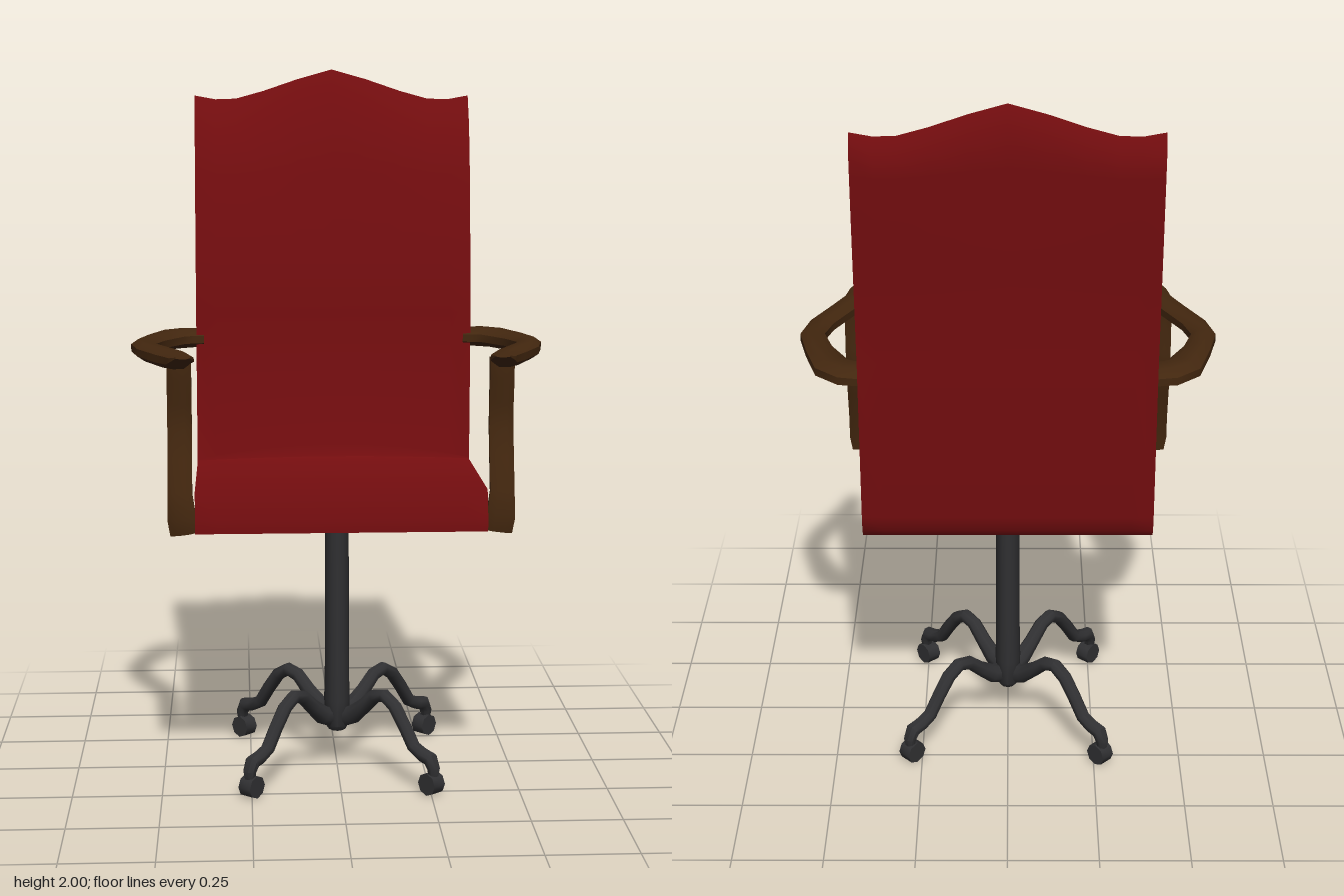
import * as THREE from 'three';
import { toCreasedNormals, mergeVertices } from 'three/addons/utils/BufferGeometryUtils.js';

const red = new THREE.MeshStandardMaterial({ color: 0x740d0f });
red.name = 'red leather';
const wood = new THREE.MeshStandardMaterial({ color: 0x43270f });
wood.name = 'dark wood';
const iron = new THREE.MeshStandardMaterial({ color: 0x303032 });
iron.name = 'dark iron';

function build(points, index, crease) {
  const g = new THREE.BufferGeometry();
  g.setAttribute('position', new THREE.Float32BufferAttribute(points, 3));
  g.setIndex(index);
  return toCreasedNormals(mergeVertices(g), crease);
}

function mesh(name, geometry, material) {
  const m = new THREE.Mesh(geometry, material);
  m.name = name;
  return m;
}

// Elliptical sweep along rows of [x, y, z, half size across ref, half size along ref]
function sweep(rows, ref, sides = 8) {
  const pts = [], idx = [];
  const at = (i) => new THREE.Vector3(...rows[Math.min(Math.max(i, 0), rows.length - 1)].slice(0, 3));
  rows.forEach((row, i) => {
    const t = at(i + 1).sub(at(i - 1)).normalize();
    const u = new THREE.Vector3().crossVectors(ref, t).normalize();
    const v = new THREE.Vector3().crossVectors(t, u);
    for (let j = 0; j < sides; j++) {
      const a = ((j + 0.5) / sides) * Math.PI * 2;
      const p = at(i).addScaledVector(u, Math.cos(a) * row[3] * 1.06).addScaledVector(v, Math.sin(a) * row[4] * 1.06);
      pts.push(p.x, p.y, p.z);
    }
  });
  const n = rows.length, last = (n - 1) * sides;
  for (let i = 0; i < n - 1; i++) {
    for (let j = 0; j < sides; j++) {
      const k = (j + 1) % sides, a = i * sides, b = a + sides;
      idx.push(a + j, a + k, b + j, a + k, b + k, b + j);
    }
  }
  for (let j = 1; j < sides - 1; j++) idx.push(0, j + 1, j, last, last + j, last + j + 1);
  return build(pts, idx, 0.9);
}

// Seat and back in one body: side profile lofted across x, with a wavy top edge
function upholstery() {
  const stations = [[-0.4, 1.925], [-0.34, 1.914], [-0.28, 1.916], [-0.2, 1.938], [-0.1, 1.972], [0, 2],
    [0.1, 1.972], [0.2, 1.938], [0.28, 1.916], [0.34, 1.914], [0.4, 1.925]];
  const profile = (x, top) => {
    const f = 0.006 + 0.04 * Math.max(0, 1 - Math.pow(Math.abs(x) / 0.4, 2)); // soft inner corner
    const d = top - 2;
    return [[0.285, 0.752], [0.285, 0.79], [0.262, 0.865], [-0.2 + f, 0.865], [-0.2 + f * 0.3, 0.865 + f * 0.3],
      [-0.2, 0.865 + f], [-0.2, 1.3], [-0.222, 1.48], [-0.255, 1.7], [-0.29, 1.9 + d * 0.8], [-0.335, 2 + d],
      [-0.358, 1.94 + d * 0.9], [-0.355, 1.84 + d * 0.4], [-0.335, 1.55], [-0.312, 1.28], [-0.31, 0.82],
      [-0.303, 0.775], [-0.285, 0.752]];
  };
  const pts = [], idx = [], n = profile(0, 2).length;
  stations.forEach(([x, top]) => profile(x, top).forEach(([z, y]) => pts.push(x, y, z)));
  for (let i = 0; i < stations.length - 1; i++) {
    for (let j = 0; j < n; j++) {
      const k = (j + 1) % n, a = i * n, b = a + n;
      idx.push(a + j, b + j, a + k, a + k, b + j, b + k);
    }
  }
  const end = (stations.length - 1) * n;
  const outline = profile(0.4, 1.925).map(([z, y]) => new THREE.Vector2(z, y));
  for (const face of THREE.ShapeUtils.triangulateShape(outline, [])) {
    // orient each cap triangle outward
    const [p, q, r] = face.map((f) => outline[f]);
    const ccw = (q.x - p.x) * (r.y - p.y) - (q.y - p.y) * (r.x - p.x) > 0;
    const [a, b, c] = ccw ? face : [face[0], face[2], face[1]];
    idx.push(a, b, c, end + a, end + c, end + b);
  }
  return build(pts, idx, 0.7);
}

export function createModel() {
  const chair = new THREE.Group();
  chair.name = 'officeChair';
  chair.add(mesh('seatAndBack', upholstery(), red));

  // Bowed armrests and their front posts
  const armRows = [[0.385, 1.225, -0.252, 0.06, 0.025], [0.43, 1.225, -0.246, 0.06, 0.027],
    [0.475, 1.225, -0.212, 0.052, 0.027], [0.52, 1.226, -0.1, 0.038, 0.026], [0.545, 1.227, -0.005, 0.035, 0.025],
    [0.525, 1.226, 0.085, 0.036, 0.025], [0.472, 1.225, 0.2, 0.036, 0.026], [0.44, 1.227, 0.27, 0.036, 0.024],
    [0.43, 1.235, 0.325, 0.034, 0.014], [0.425, 1.245, 0.357, 0.02, 0.004]];
  const postRows = [[0.44, 1.225, 0.226, 0.022, 0.034], [0.44, 1.17, 0.228, 0.02, 0.034],
    [0.44, 1.1, 0.218, 0.017, 0.034], [0.44, 1.03, 0.218, 0.017, 0.034], [0.44, 0.95, 0.238, 0.017, 0.034],
    [0.44, 0.86, 0.262, 0.018, 0.034], [0.435, 0.79, 0.272, 0.02, 0.04], [0.43, 0.75, 0.27, 0.014, 0.038]];
  for (const [side, s] of [['left', 1], ['right', -1]]) {
    const mirror = (rows) => rows.map(([x, ...rest]) => [x * s, ...rest]);
    chair.add(mesh(side + 'Armrest', sweep(mirror(armRows), new THREE.Vector3(0, 1, 0)), wood));
    chair.add(mesh(side + 'ArmPost', sweep(mirror(postRows), new THREE.Vector3(1, 0, 0)), wood));
  }

  // Oval column
  const base = new THREE.Group();
  base.name = 'base';
  base.position.z = -0.013;
  const outline = [[0, 0.11], [0.028, 0.11], [0.035, 0.125], [0.037, 0.2], [0.035, 0.3], [0.034, 0.755], [0, 0.755]];
  const column = new THREE.LatheGeometry(outline.map(([r, y]) => new THREE.Vector2(r, y)), 12);
  column.scale(1, 1, 1.58);
  base.add(mesh('column', toCreasedNormals(column, 0.9), iron));

  // Four curved legs on casters
  const legRows = [[0.02, 0.145, 0, 0.03, 0.026], [0.065, 0.16, 0, 0.026, 0.024], [0.11, 0.195, 0, 0.021, 0.021],
    [0.155, 0.235, 0, 0.019, 0.02], [0.195, 0.245, 0, 0.018, 0.02], [0.235, 0.222, 0, 0.018, 0.02],
    [0.275, 0.172, 0, 0.018, 0.019], [0.31, 0.122, 0, 0.018, 0.019], [0.345, 0.106, 0, 0.019, 0.02],
    [0.375, 0.1, 0, 0.02, 0.021], [0.388, 0.075, 0, 0.017, 0.018], [0.386, 0.04, 0, 0.012, 0.012]];
  const leg = sweep(legRows, new THREE.Vector3(0, 0, 1));
  const wheel = new THREE.CylinderGeometry(0.032, 0.032, 0.042, 8).rotateX(Math.PI / 2);
  for (const [x, z] of [[0.255, 0.29], [-0.255, 0.29], [0.285, -0.265], [-0.265, -0.265]]) {
    const g = new THREE.Group();
    g.name = 'leg';
    g.rotation.y = Math.atan2(-z, x);
    g.add(mesh('legCurve', leg, iron));
    const w = mesh('caster', toCreasedNormals(wheel, 0.9), iron);
    w.position.set(0.38, 0.032, 0);
    g.add(w);
    base.add(g);
  }
  chair.add(base);
  return chair;
}
